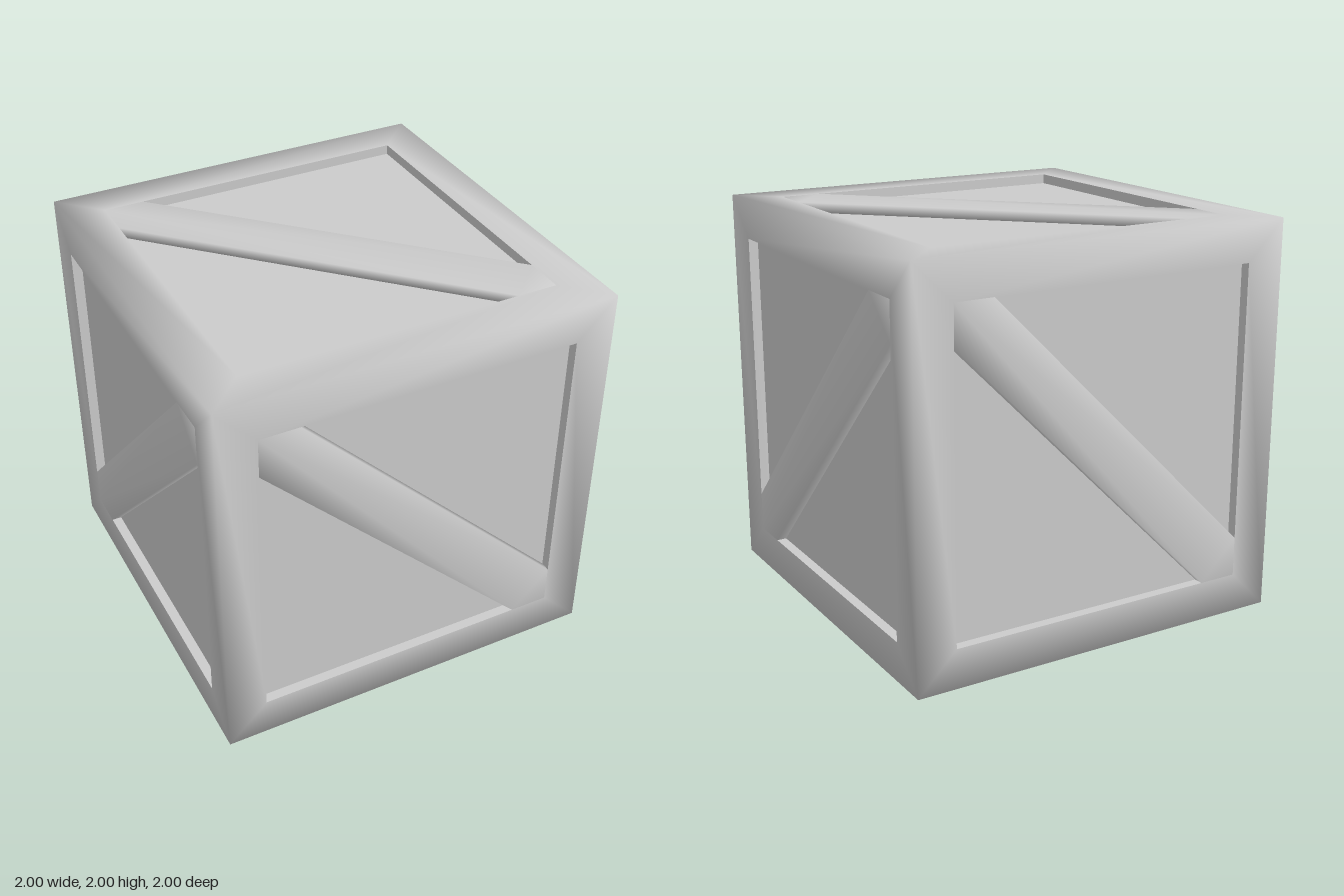
import * as THREE from 'three';
import { mergeVertices } from 'three/addons/utils/BufferGeometryUtils.js';

const OUT = 1, IN = 0.8, DEPTH = 0.05, CUT = 0.2;
const HALF = Math.PI / 2;

// Rotation that turns the front (+z) towards each side; "flip" turns the brace to the other diagonal
const SIDES = [
  { name: 'front', rot: [0, 0, 0] },
  { name: 'left', rot: [0, HALF, 0], flip: true },
  { name: 'back', rot: [0, Math.PI, 0] },
  { name: 'right', rot: [0, -HALF, 0], flip: true },
  { name: 'top', rot: [-HALF, 0, 0] },
  { name: 'bottom', rot: [HALF, 0, 0] },
];

// Square corners, clockwise as seen from outside
const square = (r, z) => [[-r, r], [r, r], [r, -r], [-r, -r]].map(([x, y]) => new THREE.Vector3(x, y, z));

// Band of four quads between two square loops
function band(a, b) {
  const points = [];
  for (let i = 0; i < 4; i++) {
    const j = (i + 1) % 4;
    points.push(a[i], b[i], a[j], b[i], b[j], a[j]);
  }
  return points;
}

function smooth(geometry) {
  geometry.deleteAttribute('normal');
  geometry.deleteAttribute('uv');
  const merged = mergeVertices(geometry, 1e-3);
  merged.computeVertexNormals();
  return merged;
}

// Outer frame: mitred borders of all six sides, shading blended over the cube's corners
function frameGeometry() {
  const border = band(square(OUT, OUT), square(IN, OUT));
  const points = SIDES.flatMap(({ rot }) => {
    const e = new THREE.Euler(...rot);
    return border.map((p) => p.clone().applyEuler(e));
  });
  return smooth(new THREE.BufferGeometry().setFromPoints(points));
}

// Walls of the recess, from the opening down to the panel
function recessGeometry() {
  const g = new THREE.BufferGeometry().setFromPoints(band(square(IN, OUT), square(IN, OUT - DEPTH)));
  g.computeVertexNormals();
  return g;
}

// Diagonal brace, its ends cut to fit the corners
function braceGeometry() {
  const c = IN - CUT;
  const outline = [[-IN, IN], [-IN, c], [c, -IN], [IN, -IN], [IN, -c], [-c, IN]];
  const shape = new THREE.Shape(outline.map(([x, y]) => new THREE.Vector2(x, y)));
  const g = new THREE.ExtrudeGeometry(shape, { depth: DEPTH, bevelEnabled: false });
  g.translate(0, 0, OUT - DEPTH);
  return smooth(g);
}

export function createModel() {
  const model = new THREE.Group();
  model.name = 'crate';
  const material = new THREE.MeshStandardMaterial({ color: 0xcccccc });
  const add = (parent, name, geometry) => {
    const mesh = new THREE.Mesh(geometry, material);
    mesh.name = name;
    parent.add(mesh);
    return mesh;
  };

  add(model, 'frame', frameGeometry());

  // Each side: recessed panel, recess walls and brace
  const recess = recessGeometry();
  const panel = new THREE.PlaneGeometry(2 * IN, 2 * IN).translate(0, 0, OUT - DEPTH);
  const brace = braceGeometry();
  for (const { name, rot, flip } of SIDES) {
    const side = new THREE.Group();
    side.name = name + 'Side';
    side.rotation.set(...rot);
    add(side, name + 'Panel', panel);
    add(side, name + 'RecessWalls', recess);
    add(side, name + 'Brace', brace).rotation.z = flip ? HALF : 0;
    model.add(side);
  }

  // Stand on the ground
  model.children.forEach((part) => { part.position.y = OUT; });
  return model;
}
